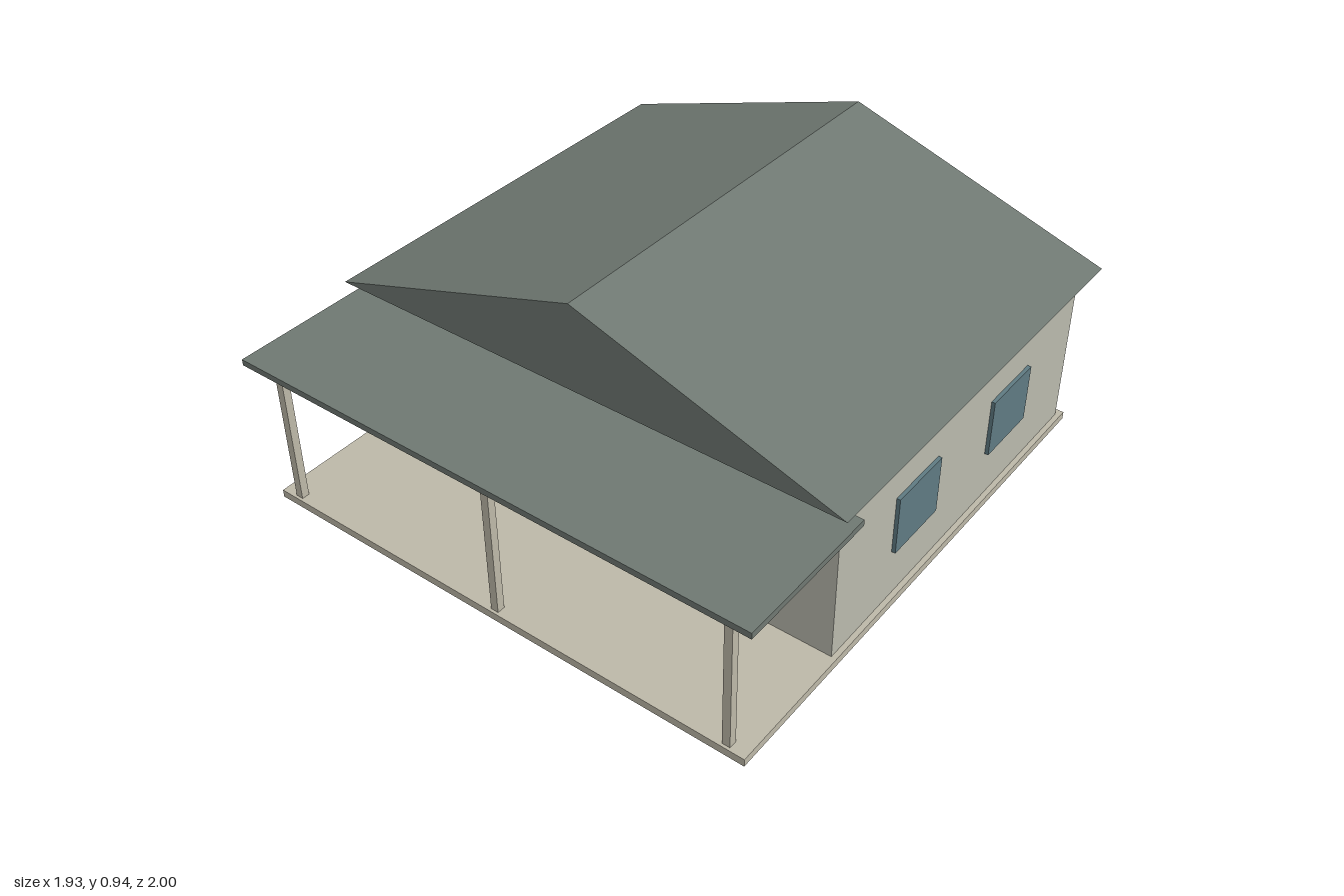
import * as THREE from 'three';

const mat = (color) => new THREE.MeshStandardMaterial({ color, flatShading: true });

export function createModel() {
  const house = new THREE.Group();
  house.name = 'house';
  const wallMat = mat(0xb9b9ad), trimMat = mat(0xbdb8a8), roofMat = mat(0x6f7872), glassMat = mat(0x5f7a82);

  // Box given by its extents on each axis
  const box = (name, material, [x0, x1], [y0, y1], [z0, z1]) => {
    const mesh = new THREE.Mesh(new THREE.BoxGeometry(x1 - x0, y1 - y0, z1 - z0), material);
    mesh.position.set((x0 + x1) / 2, (y0 + y1) / 2, (z0 + z1) / 2);
    mesh.name = name;
    house.add(mesh);
  };

  // Floor slab and body
  box('floorSlab', trimMat, [-0.933, 0.933], [0, 0.028], [-0.965, 0.965]);
  box('walls', wallMat, [-0.915, 0.915], [0.028, 0.622], [-0.937, 0.5]);

  // Gabled roof, a solid prism along z
  const gable = new THREE.Shape([
    new THREE.Vector2(-0.967, 0.622), new THREE.Vector2(0.967, 0.622), new THREE.Vector2(0, 0.935),
  ]);
  const roof = new THREE.Mesh(
    new THREE.ExtrudeGeometry(gable, { depth: 1.557, bevelEnabled: false }), roofMat);
  roof.position.z = -1;
  roof.name = 'gableRoof';
  house.add(roof);

  // Porch roof and posts
  box('porchRoof', roofMat, [-0.967, 0.967], [0.546, 0.568], [0.465, 1]);
  for (const x of [-0.863, 0, 0.863])
    box('porchPost', trimMat, [x - 0.014, x + 0.014], [0.028, 0.546], [0.927, 0.955]);

  // Front windows with frames
  for (const x of [-0.586, -0.184, 0.238]) {
    box('windowFrame', trimMat, [x - 0.149, x + 0.149], [0.198, 0.423], [0.495, 0.511]);
    box('windowGlass', glassMat, [x - 0.138, x + 0.138], [0.213, 0.406], [0.5, 0.525]);
  }

  // Front door
  box('frontDoor', glassMat, [0.37, 0.542], [0.028, 0.409], [0.495, 0.515]);

  // Windows on the left wall
  for (const z of [0.067, -0.507])
    box('sideWindow', glassMat, [0.905, 0.928], [0.213, 0.424], [z - 0.121, z + 0.121]);

  return house;
}
